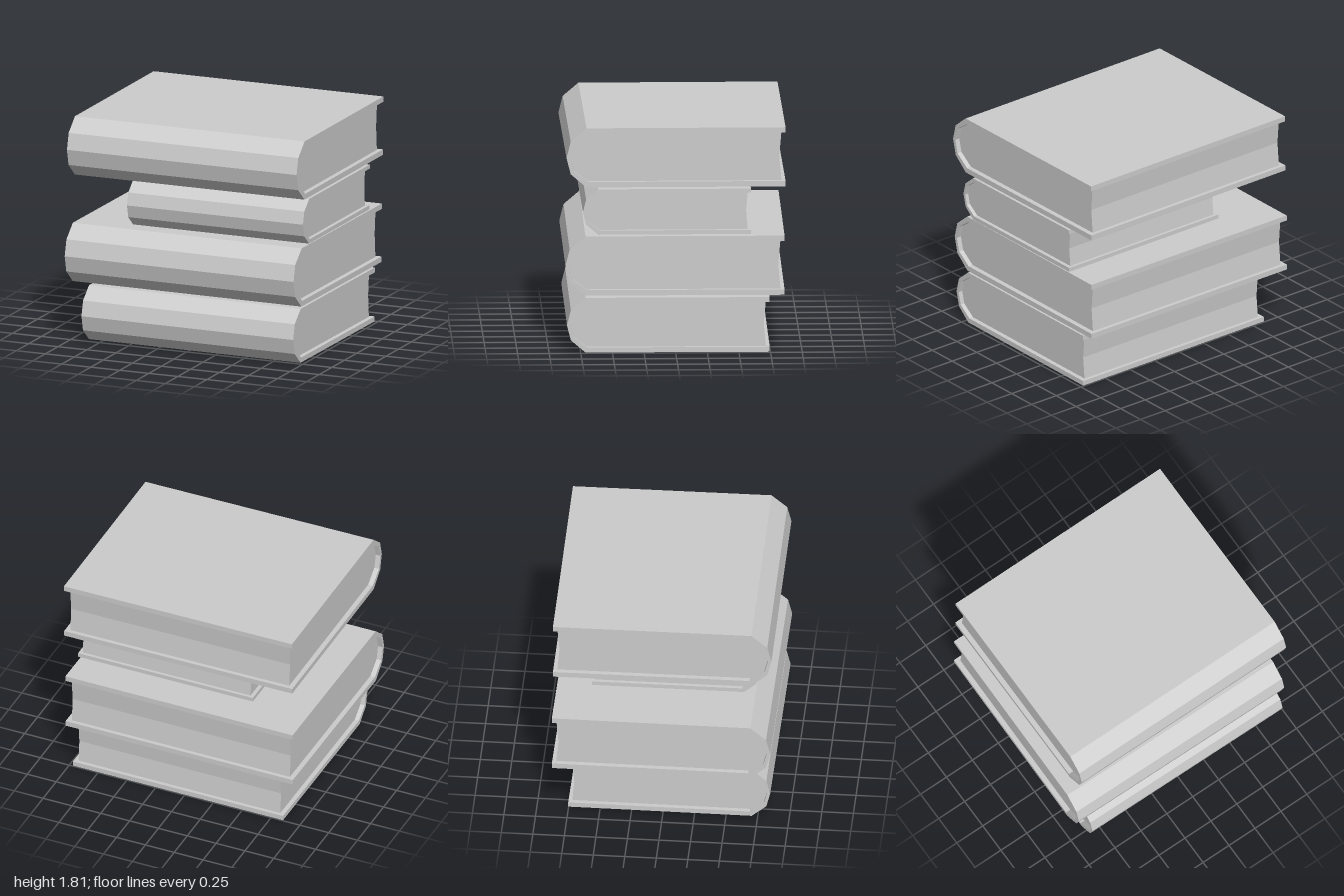
import * as THREE from 'three';

const WIDTH = 1.975;      // length of the spine (x)
const INSET = 0.04;       // pages sit back from the cover ends
const BACK = 0.866;       // cover reach behind the centre

const material = new THREE.MeshStandardMaterial({ color: 0xcccccc, flatShading: true });

// Extrudes a [z, y] outline along x, centred on x = 0
function extrudeAlongX(outline, width) {
  const shape = new THREE.Shape(outline.map(([z, y]) => new THREE.Vector2(-z, y)));
  const geometry = new THREE.ExtrudeGeometry(shape, { depth: width, bevelEnabled: false });
  geometry.translate(0, 0, -width / 2);
  return geometry.rotateY(Math.PI / 2);
}

// Upper half of a profile mirrored below y = 0, running top to bottom around the spine
function mirrored(upper, tipZ) {
  const lower = upper.map(([z, y]) => [z, -y]).reverse();
  return [...upper, [tipZ, 0], ...lower];
}

const outer = mirrored([[-BACK, 0.2375], [0.708, 0.2375], [0.833, 0.131]], 0.866);
const inner = mirrored([[-BACK, 0.194], [0.692, 0.194], [0.81, 0.108]], 0.838);
const block = mirrored([[-0.834, 0.194], [0.692, 0.194], [0.81, 0.108]], 0.838);

// C-shaped cover, and a page block with a hollowed fore-edge
const coverGeometry = extrudeAlongX([...outer, ...[...inner].reverse()], WIDTH);
const pagesGeometry = extrudeAlongX([...block, [-0.817, 0]], WIDTH - 2 * INSET);

function createBook(name, { size, position, turn, roll }) {
  const book = new THREE.Group();
  book.name = name;
  const cover = new THREE.Mesh(coverGeometry, material);
  cover.name = 'cover';
  const pages = new THREE.Mesh(pagesGeometry, material);
  pages.name = 'pages';
  book.add(cover, pages);
  book.scale.setScalar(size);
  book.position.set(...position);
  book.rotation.set(0, turn, roll);
  return book;
}

export function createModel() {
  const model = new THREE.Group();
  model.name = 'bookStack';
  // Same book at several sizes, each lying slightly askew
  const books = {
    bottomBook: { size: 0.925, position: [0.055, 0.224, 0.053], turn: -0.005, roll: -0.004 },
    secondBook: { size: 1, position: [-0.01, 0.701, 0], turn: -0.005, roll: -0.004 },
    thirdBook: { size: 0.767, position: [0.237, 1.136, 0.07], turn: 0.001, roll: -0.003 },
    topBook: { size: 1, position: [0.006, 1.573, 0], turn: 0.003, roll: -0.004 },
  };
  for (const [name, options] of Object.entries(books)) model.add(createBook(name, options));
  return model;
}
